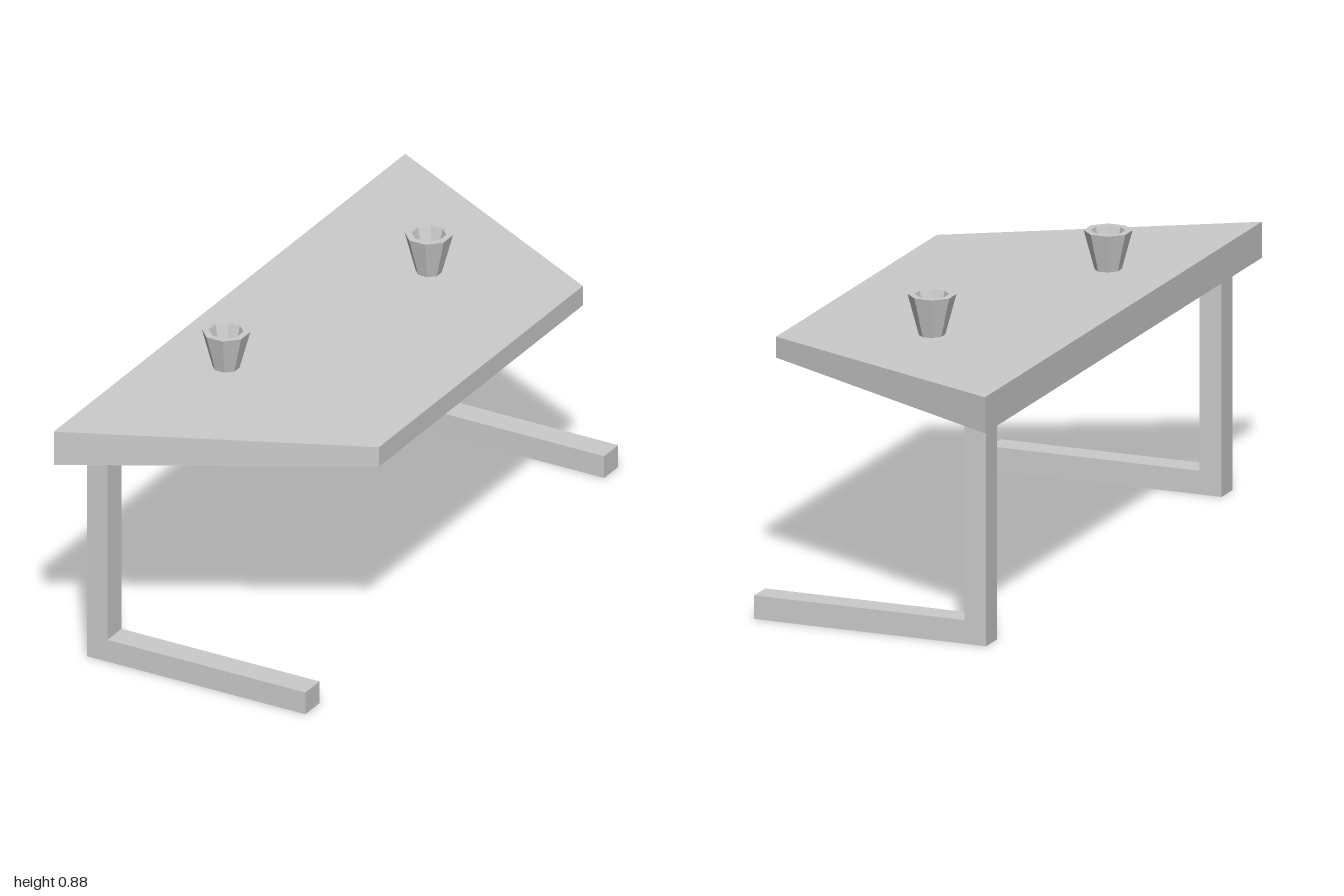
import * as THREE from 'three';

const material = new THREE.MeshStandardMaterial({ color: 0xcccccc, flatShading: true });

function addPart(group, name, geometry) {
  const mesh = new THREE.Mesh(geometry, material);
  mesh.name = name;
  group.add(mesh);
  return mesh;
}

// Slab that narrows in length and thickness towards +x
function tabletopGeometry() {
  const geometry = new THREE.BoxGeometry(0.83, 1, 2);
  const pos = geometry.attributes.position;
  for (let i = 0; i < pos.count; i++) {
    const narrow = pos.getX(i) > 0;
    const halfThickness = narrow ? 0.031 : 0.0535;
    pos.setY(i, 0.714 + Math.sign(pos.getY(i)) * halfThickness);
    pos.setZ(i, Math.sign(pos.getZ(i)) * (narrow ? 0.58 : 1));
  }
  geometry.computeVertexNormals();
  return geometry;
}

// L-shaped upright and foot
function legGeometry() {
  const outline = [
    [-0.378, 0], [0.343, 0], [0.343, 0.07], [-0.31, 0.07], [-0.31, 0.69], [-0.378, 0.69],
  ].map(([x, y]) => new THREE.Vector2(x, y));
  const depth = 0.08;
  return new THREE.ExtrudeGeometry(new THREE.Shape(outline), { depth, bevelEnabled: false })
    .translate(0, 0, -depth / 2);
}

// Hollow eight-sided cup with flats facing the axes
function cupGeometry() {
  const profile = [
    [0, 0.75], [0.036, 0.75], [0.07, 0.877], [0.05, 0.877], [0.024, 0.775], [0, 0.775],
  ].map(([r, y]) => new THREE.Vector2(r, y));
  return new THREE.LatheGeometry(profile, 8, Math.PI / 8);
}

export function createModel() {
  const model = new THREE.Group();
  model.name = 'table';

  addPart(model, 'tabletop', tabletopGeometry());

  const leg = legGeometry();
  addPart(model, 'frontLeg', leg).position.z = 0.835;
  addPart(model, 'backLeg', leg).position.z = -0.865;

  const cup = cupGeometry();
  addPart(model, 'frontCup', cup).position.set(-0.199, 0, 0.392);
  addPart(model, 'backCup', cup).position.set(-0.001, 0, -0.42);

  return model;
}
